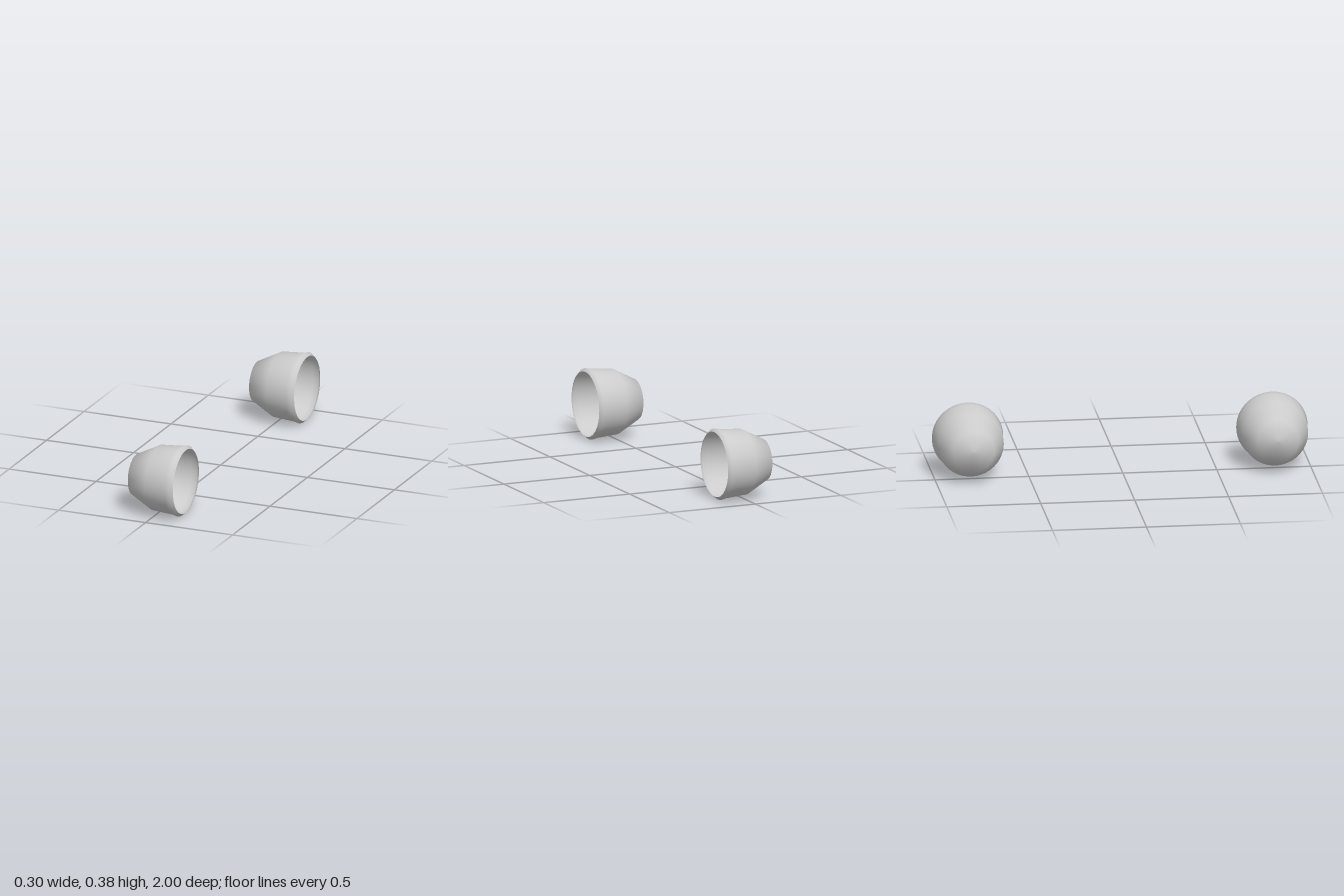
import * as THREE from 'three';

export function createModel() {
  const model = new THREE.Group();
  const grey = new THREE.MeshStandardMaterial({ color: 0xcccccc, side: THREE.DoubleSide });
  grey.name = 'light grey';

  // Cup profile as [radius, position along the axis], from closed tip to open rim
  const profile = [
    [0, -0.15], [0.11, -0.137], [0.175, -0.012],
    [0.184, 0.105], [0.19, 0.132], [0.174, 0.15],
  ].map(([r, h]) => new THREE.Vector2(r, h));

  // Lay the axis along x, with the opening towards +x
  const cupGeometry = new THREE.LatheGeometry(profile, 64);
  cupGeometry.rotateZ(-Math.PI / 2);

  // A matching pair, front and back
  for (const [name, z] of [['frontCup', 0.81], ['backCup', -0.81]]) {
    const cup = new THREE.Mesh(cupGeometry, grey);
    cup.name = name;
    cup.position.set(0, 0.19, z);
    model.add(cup);
  }
  return model;
}
